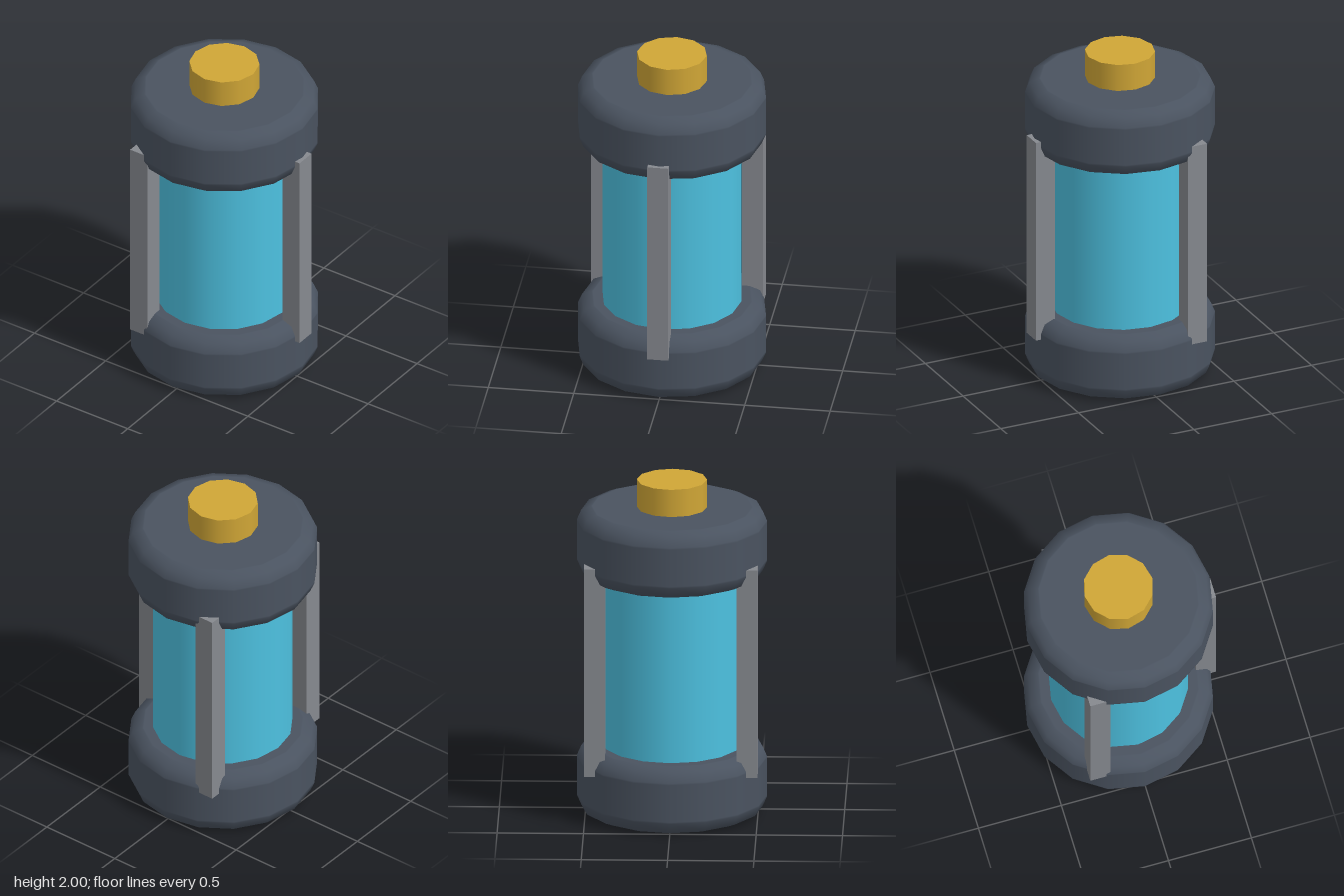
import * as THREE from 'three';

const material = (name, color) => {
  const m = new THREE.MeshStandardMaterial({ color });
  m.name = name;
  return m;
};

export function createModel() {
  const group = new THREE.Group();
  group.name = 'energyCell';
  const casing = material('dark slate casing', 0x4a5360);
  const glass = material('cyan core', 0x4dc1e0);
  const steel = material('grey metal', 0x86898f);
  const brass = material('brass', 0xd0a636);
  const axisX = -0.01;

  const add = (name, geometry, mat, x, y, z) => {
    const mesh = new THREE.Mesh(geometry, mat);
    mesh.name = name;
    mesh.position.set(x, y, z);
    group.add(mesh);
  };

  // Rounded end caps; extra rings keep the flat faces evenly shaded
  const h = 0.405;
  const lower = [[0, 0], [0.462, 0], [0.47, 0], [0.526, 0.024], [0.55, 0.08], [0.55, 0.09]];
  const upper = lower.map(([r, y]) => [r, h - y]).reverse();
  const profile = [...lower, ...upper].map(([r, y]) => new THREE.Vector2(r, y));
  const cap = new THREE.LatheGeometry(profile, 16);
  add('bottomCap', cap, casing, axisX, 0, 0);
  add('topCap', cap, casing, axisX, 1.43, 0);

  // Central core between the caps
  add('core', new THREE.CylinderGeometry(0.406, 0.406, 1.2, 16), glass, axisX, 0.92, 0);

  // Terminal on top
  add('terminal', new THREE.CylinderGeometry(0.204, 0.204, 0.2, 12), brass, axisX, 1.9, 0);

  // Three square posts around the core, all aligned to the axes
  const post = new THREE.BoxGeometry(0.122, 1.26, 0.122);
  for (let i = 0; i < 3; i++) {
    const a = (i * Math.PI * 2) / 3;
    add(`post${i + 1}`, post, steel, axisX + 0.51 * Math.cos(a), 0.92, 0.51 * Math.sin(a));
  }
  return group;
}
